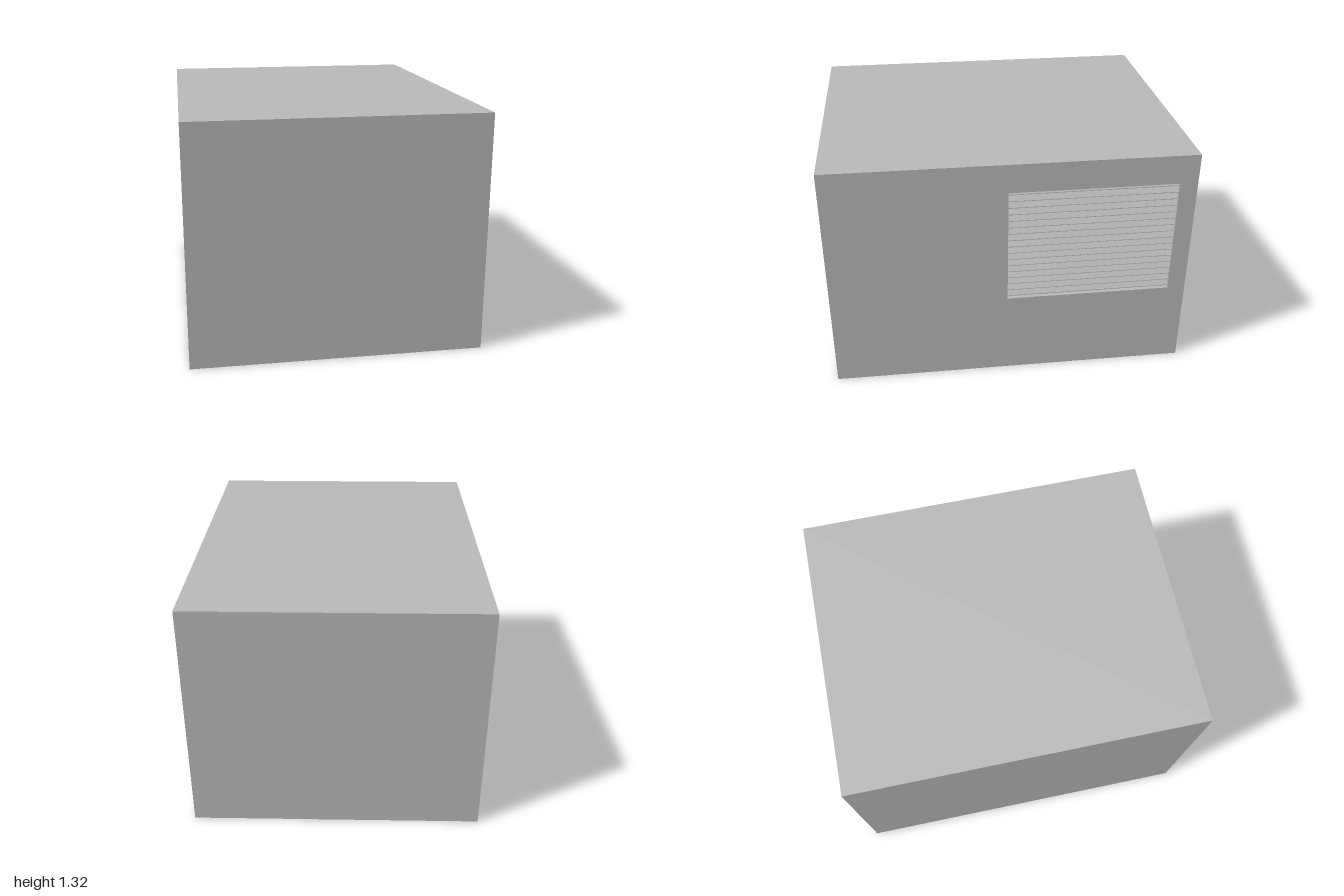
import * as THREE from 'three';

const W = 1.6, H = 1.32, L = 2, T = 0.04; // outer size and wall thickness

export function createModel() {
  const grey = new THREE.MeshStandardMaterial({ color: 0xb8b8b8 });
  grey.name = 'light grey';
  const beige = new THREE.MeshStandardMaterial({ color: 0xcdbd9f });
  beige.name = 'floor beige';

  const model = new THREE.Group();
  const add = (name, geometry, material, x, y, z) => {
    const mesh = new THREE.Mesh(geometry, material);
    mesh.name = name;
    mesh.position.set(x, y, z);
    model.add(mesh);
    return mesh;
  };
  const box = (name, w, h, d, x, y, z, material = grey) =>
    add(name, new THREE.BoxGeometry(w, h, d), material, x, y, z);

  // Closed walls, roof and inset floor
  const wallH = H - T;
  box('roof', W, T, L, 0, H - T / 2, 0);
  box('frontWall', W - 2 * T, wallH, T, 0, wallH / 2, L / 2 - T / 2);
  box('backWall', W - 2 * T, wallH, T, 0, wallH / 2, -L / 2 + T / 2);
  box('rightWall', T, wallH, L, -W / 2 + T / 2, wallH / 2, 0);
  box('floor', W - 2 * T, T, L - 2 * T, 0, T / 2, 0, beige);

  // Left wall with the vent opening; the shape's horizontal axis is -z
  const zFront = 0.02, zBack = -0.9, yLow = 0.485, yHigh = 1.155;
  const rect = (Type, u0, v0, u1, v1) => new Type([
    new THREE.Vector2(u0, v0), new THREE.Vector2(u1, v0),
    new THREE.Vector2(u1, v1), new THREE.Vector2(u0, v1)]);
  const wall = rect(THREE.Shape, -L / 2, 0, L / 2, wallH);
  wall.holes.push(rect(THREE.Path, -zFront, yLow, -zBack, yHigh));
  const wallGeometry = new THREE.ExtrudeGeometry(wall, { depth: T, bevelEnabled: false });
  wallGeometry.rotateY(Math.PI / 2);
  add('leftWall', wallGeometry, grey, W / 2 - T, 0, 0);

  // Vent slats, sloping down towards the outside
  const profile = new THREE.Shape([
    new THREE.Vector2(0, 0), new THREE.Vector2(0, 0.004),
    new THREE.Vector2(-0.036, 0.046), new THREE.Vector2(-0.036, 0.042)]);
  const slat = new THREE.ExtrudeGeometry(profile, { depth: zFront - zBack, bevelEnabled: false });
  for (let i = 0; i < 18; i++) {
    add('ventSlat', slat, grey, W / 2 - 0.002, 0.461 + i * 0.04, zBack);
  }
  return model;
}
